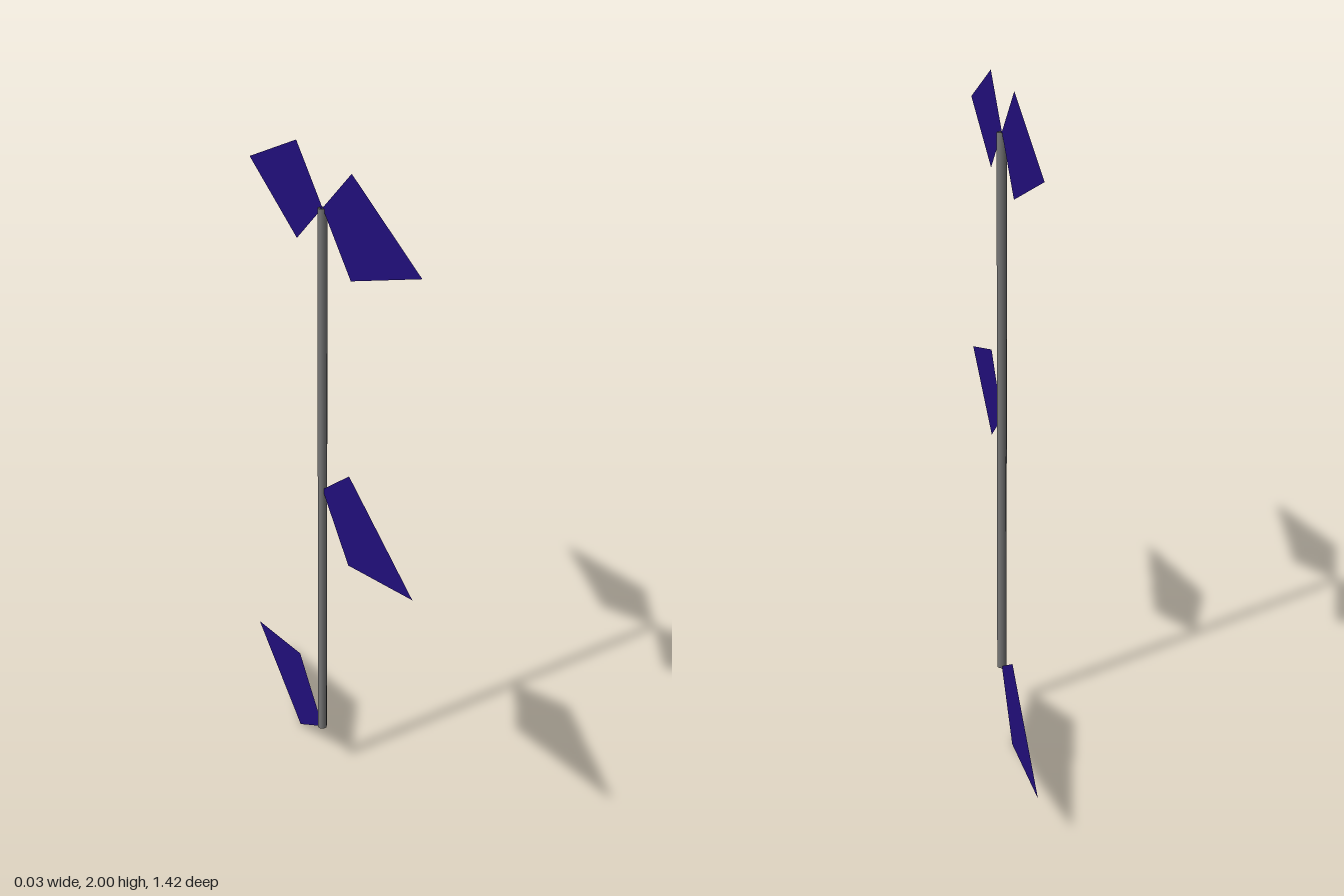
import * as THREE from 'three';

export function createModel() {
  const model = new THREE.Group();
  const stemMaterial = new THREE.MeshStandardMaterial({ color: 0x777777, side: THREE.DoubleSide });
  const leafMaterial = new THREE.MeshStandardMaterial({ color: 0x210e7c, side: THREE.DoubleSide });

  const low = 0.143, high = 1.857;

  // Thin upright stem, an open tube
  const stem = new THREE.Mesh(
    new THREE.CylinderGeometry(0.015, 0.015, high - low, 8, 1, true), stemMaterial);
  stem.name = 'stem';
  stem.position.y = (low + high) / 2;
  model.add(stem);

  // Flat kite-shaped leaf, root at the origin and tip along +x
  const kite = new THREE.Shape([[0, 0], [0.23, -0.143], [0.71, 0], [0.23, 0.143]]
    .map(([x, y]) => new THREE.Vector2(x, y)));
  const leafGeometry = new THREE.ShapeGeometry(kite);

  // Leaves turned to point forward (+1) or backward (-1)
  const leaves = [
    ['topFrontLeaf', high, 1],
    ['topBackLeaf', high, -1],
    ['middleFrontLeaf', 1, 1],
    ['bottomBackLeaf', low, -1],
  ];
  for (const [name, y, direction] of leaves) {
    const leaf = new THREE.Mesh(leafGeometry, leafMaterial);
    leaf.name = name;
    leaf.position.y = y;
    leaf.rotation.y = -direction * Math.PI / 2;
    model.add(leaf);
  }

  return model;
}
